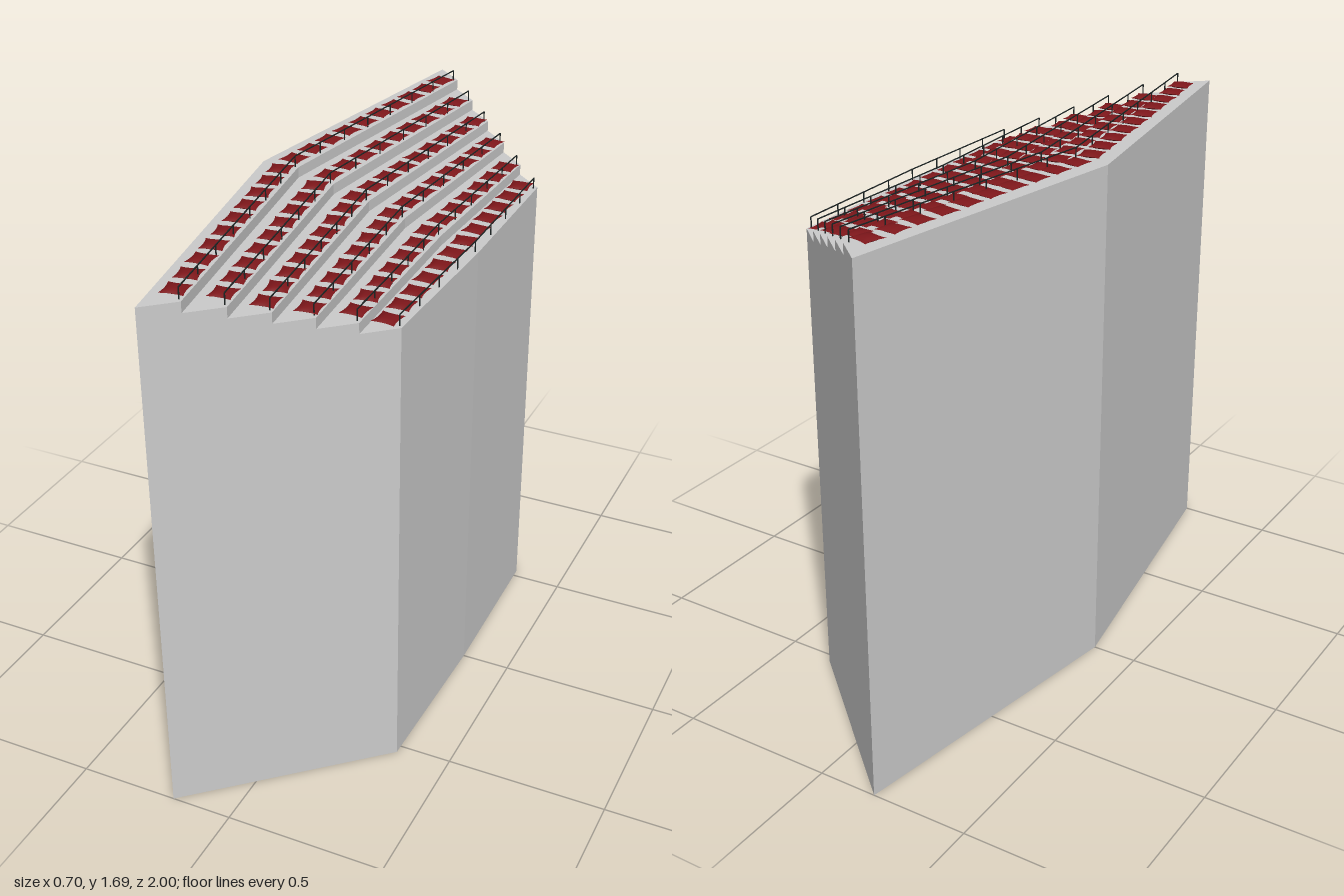
import * as THREE from 'three';
import { mergeGeometries } from 'three/addons/utils/BufferGeometryUtils.js';

const TIERS = 6;
const tierTop = (i) => 1.65 - 0.033 * i;

// Bent line across the block: 0 is the back edge, 6 the front edge.
const line = (i) => ({ mid: -0.355 + 0.1167 * i, end: -0.19 + 0.0875 * i, z: 1 - 0.0785 * i });
const xOn = (l, z) => THREE.MathUtils.lerp(l.mid, l.end, Math.abs(z) / l.z);

// Small seeded generator for the slightly untidy cushions.
let seed = 7;
const jitter = (a) => {
  seed = (seed * 16807) % 2147483647;
  return (seed / 2147483647 - 0.5) * 2 * a;
};

// Pillow: two domed sheets with pinched corners and drawn-in edges.
function cushionGeometry(size, thickness) {
  const top = new THREE.PlaneGeometry(2, 2, 6, 6).rotateX(-Math.PI / 2);
  const p = top.attributes.position;
  for (let i = 0; i < p.count; i++) {
    const u = p.getX(i), v = p.getZ(i);
    const dome = Math.sqrt(Math.max(0, (1 - u * u) * (1 - v * v)));
    p.setXYZ(i,
      u * (1 - 0.13 * (1 - v * v)) * size / 2,
      dome * thickness / 2,
      v * (1 - 0.13 * (1 - u * u)) * size / 2);
  }
  top.computeVertexNormals();
  return mergeGeometries([top, top.clone().rotateX(Math.PI)]);
}

// Thin square bar between two points.
function bar(a, b, t) {
  const g = new THREE.BoxGeometry(t, t, a.distanceTo(b));
  const m = new THREE.Matrix4().lookAt(b, a, new THREE.Vector3(0, 1, 0));
  return g.applyMatrix4(m.setPosition(a.clone().lerp(b, 0.5)));
}

export function createModel() {
  const model = new THREE.Group();
  const grey = new THREE.MeshStandardMaterial({ color: 0xcccccc, flatShading: true });
  const red = new THREE.MeshStandardMaterial({ color: 0x7d161a });
  const dark = new THREE.MeshStandardMaterial({ color: 0x1c2424 });

  const add = (parent, name, geometry, material) => {
    const mesh = new THREE.Mesh(geometry, material);
    mesh.name = name;
    parent.add(mesh);
    return mesh;
  };

  // Stepped block: a tall base with ever shallower slabs stacked on it.
  const block = new THREE.Group();
  block.name = 'steppedBlock';
  model.add(block);
  const back = line(0);
  for (let i = TIERS - 1; i >= 0; i--) {
    const front = line(i + 1);
    const shape = new THREE.Shape([
      [back.mid, 0], [back.end, -back.z], [front.end, -front.z],
      [front.mid, 0], [front.end, front.z], [back.end, back.z],
    ].map(([x, y]) => new THREE.Vector2(x, y)));
    const bottom = i === TIERS - 1 ? 0 : tierTop(i + 1);
    const g = new THREE.ExtrudeGeometry(shape, { depth: tierTop(i) - bottom, bevelEnabled: false });
    g.rotateX(-Math.PI / 2).translate(0, bottom, 0);
    add(block, i === TIERS - 1 ? 'base' : 'tier', g, grey);
  }

  // Rows of cushions: [count, distance of the last one from the middle].
  const rows = [[20, 0.875], [18, 0.785], [17, 0.725], [15, 0.65], [13, 0.555], [12, 0.505]];
  const pillow = cushionGeometry(0.07, 0.016);
  rows.forEach(([count, reach], i) => {
    const row = new THREE.Group();
    row.name = 'cushionRow';
    model.add(row);
    const l = line(i + 0.5);
    const bend = Math.atan2(l.end - l.mid, l.z);
    for (let k = 0; k < count; k++) {
      const z = -reach + (2 * reach * k) / (count - 1);
      const seat = add(row, 'cushion', pillow, red);
      seat.position.set(xOn(l, z) + (i < 5 ? 0.015 : -0.005), tierTop(i) + 0.007, z);
      seat.rotation.y = Math.sign(z) * bend + jitter(0.1);
    }
  });

  // Railings just behind each tier's front edge, bent like the tier.
  for (let i = 0; i < TIERS; i++) {
    const l = line(i + 1);
    const y = tierTop(i);
    const at = (z, h) => new THREE.Vector3(xOn(l, z) - 0.01, y + h, z);
    const reach = l.z - 0.01;
    const n = Math.round(reach / 0.13);
    const parts = [bar(at(-reach, 0.034), at(0, 0.034), 0.003), bar(at(0, 0.034), at(reach, 0.034), 0.003)];
    for (let k = -n; k <= n; k++) {
      const p = at((reach * k) / n, 0.017);
      parts.push(new THREE.BoxGeometry(0.003, 0.034, 0.003).translate(p.x, p.y, p.z));
    }
    add(model, 'railing', mergeGeometries(parts), dark);
  }
  return model;
}
